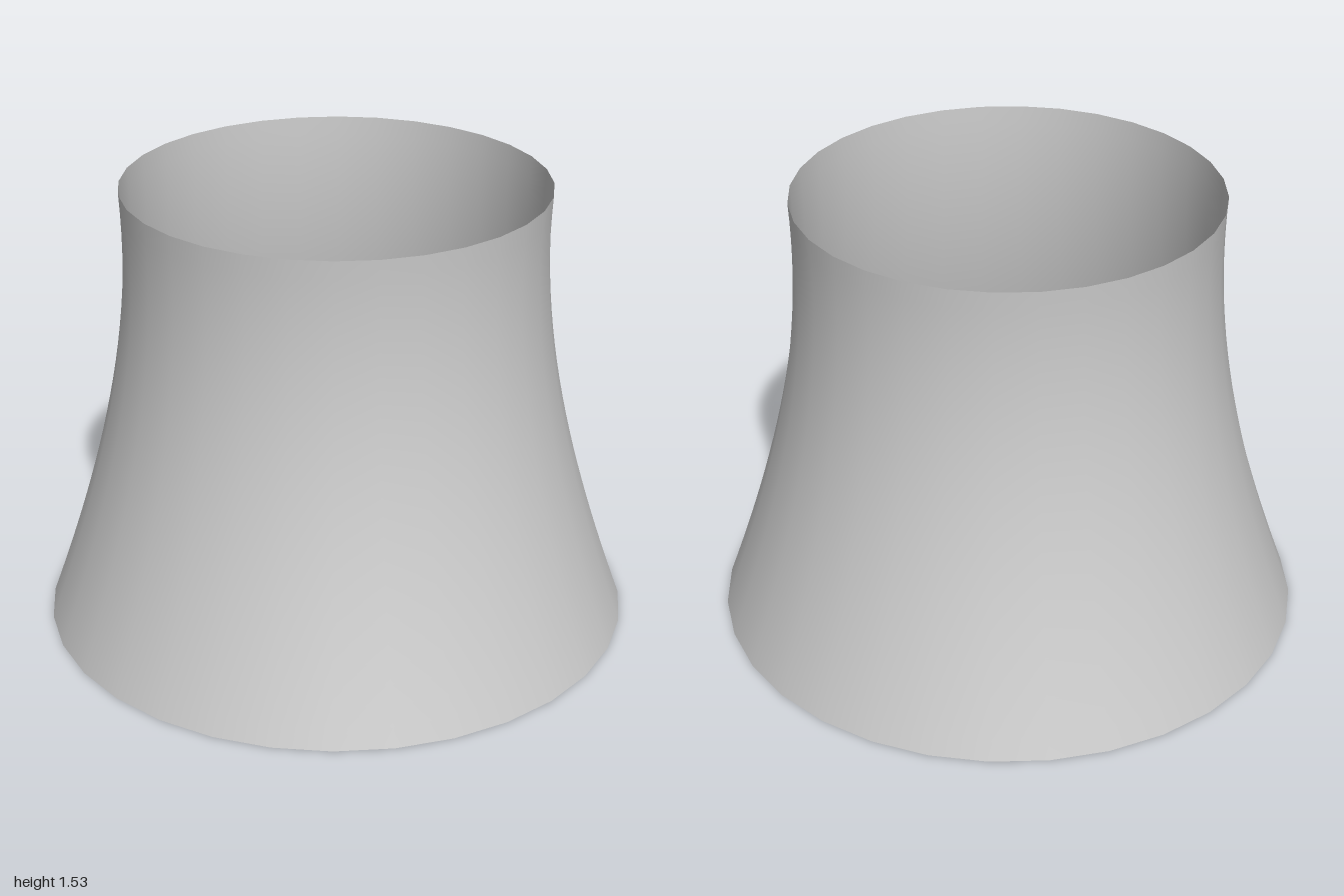
import * as THREE from 'three';

export function createModel() {
  const sides = 32;
  const height = 1.535;
  const rows = 24;

  // Hyperbolic profile: narrow waist near the top, flared foot.
  const waistY = 1.37;
  const waistRadius = 0.704;
  const spread = 1.358;
  // Flats face the axes, so corners sit slightly further out.
  const cornerScale = 1 / Math.cos(Math.PI / sides);

  const profile = [];
  for (let i = 0; i <= rows; i++) {
    const y = (height * i) / rows;
    const r = waistRadius * Math.hypot(1, (y - waistY) / spread);
    profile.push(new THREE.Vector2(r * cornerScale, y));
  }

  // Thin shell, open at top and bottom.
  const shell = new THREE.Mesh(
    new THREE.LatheGeometry(profile, sides, Math.PI / sides),
    new THREE.MeshStandardMaterial({ color: 0xcccccc, side: THREE.DoubleSide })
  );
  shell.name = 'towerShell';

  const model = new THREE.Group();
  model.name = 'coolingTower';
  model.add(shell);
  return model;
}
